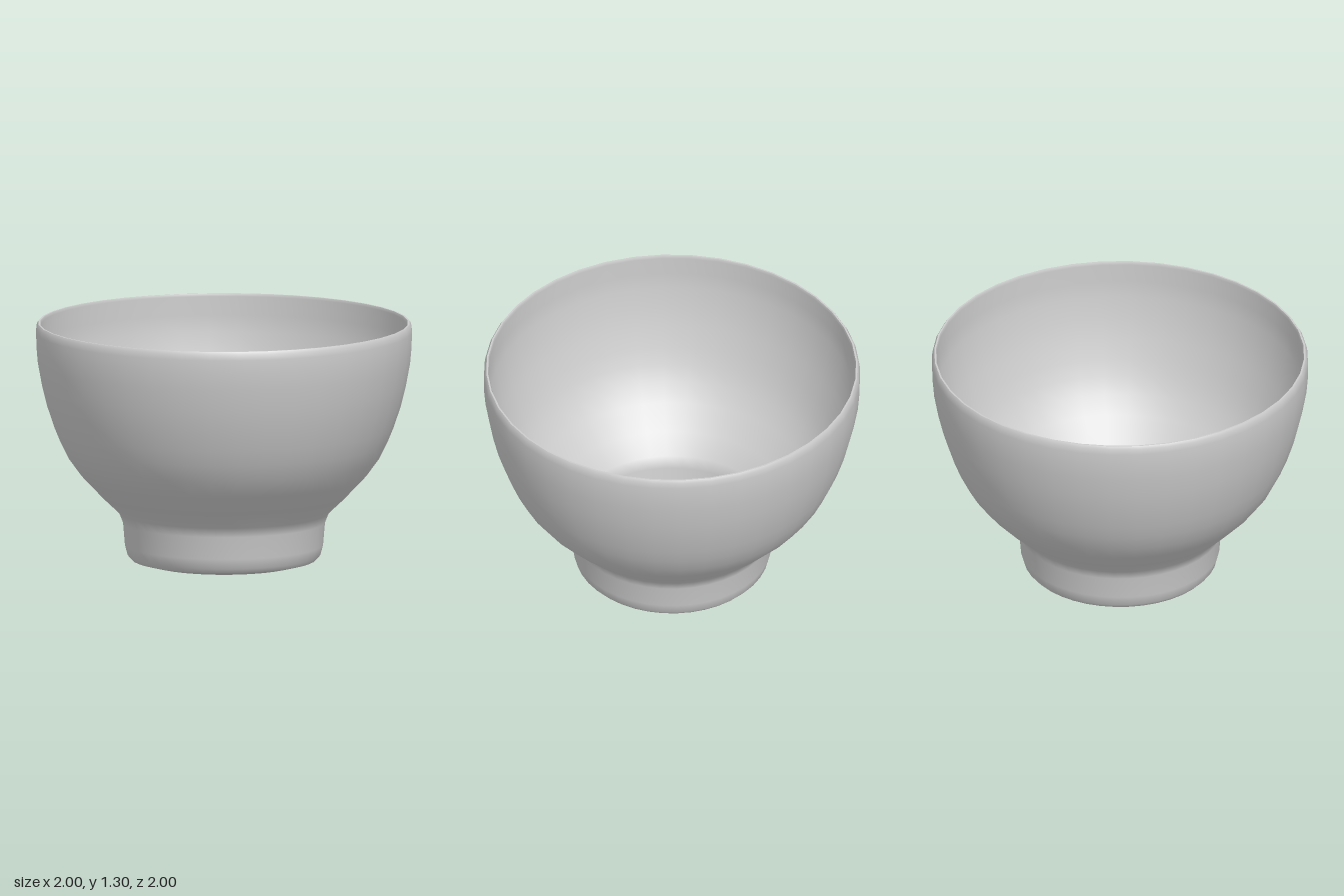
import * as THREE from 'three';

const SEGMENTS = 40;
const material = new THREE.MeshStandardMaterial({ color: 0xcccccc });

// Revolves a profile of [radius, height] pairs
function turned(name, pairs) {
  const points = pairs.map(([r, y]) => new THREE.Vector2(r, y));
  const geometry = new THREE.LatheGeometry(points, SEGMENTS, Math.PI / SEGMENTS);
  const mesh = new THREE.Mesh(geometry, material);
  mesh.name = name;
  return mesh;
}

export function createModel() {
  const bowl = new THREE.Group();
  bowl.name = 'bowl';

  // Slightly convex underside of the foot
  bowl.add(turned('underside', [[0, 0], [0.25, 0.003], [0.4, 0.012], [0.49, 0.035]]));

  // Foot, waist and flaring outer wall
  bowl.add(turned('outerWall', [
    [0.49, 0.035], [0.513, 0.06], [0.528, 0.115], [0.538, 0.235], [0.558, 0.287],
    [0.65, 0.374], [0.757, 0.487], [0.825, 0.58], [0.87, 0.67], [0.905, 0.755],
    [0.943, 0.87], [0.97, 0.98], [0.992, 1.1], [1, 1.19], [1.001, 1.26],
    [0.997, 1.29], [0.988, 1.305],
  ]));

  // Narrow flat lip
  bowl.add(turned('rim', [[0.988, 1.305], [0.979, 1.305]]));

  // Inner wall, a thin shell following the outside down into the foot
  bowl.add(turned('innerWall', [
    [0.979, 1.305], [0.974, 1.29], [0.976, 1.19], [0.968, 1.1], [0.946, 0.98],
    [0.919, 0.875], [0.882, 0.765], [0.848, 0.68], [0.804, 0.594], [0.738, 0.504],
    [0.633, 0.392], [0.537, 0.302], [0.513, 0.24], [0.503, 0.115], [0.48, 0.06],
  ]));

  // Slightly dished inside floor
  bowl.add(turned('floor', [[0.48, 0.06], [0.4, 0.037], [0.25, 0.028], [0, 0.025]]));

  return bowl;
}
